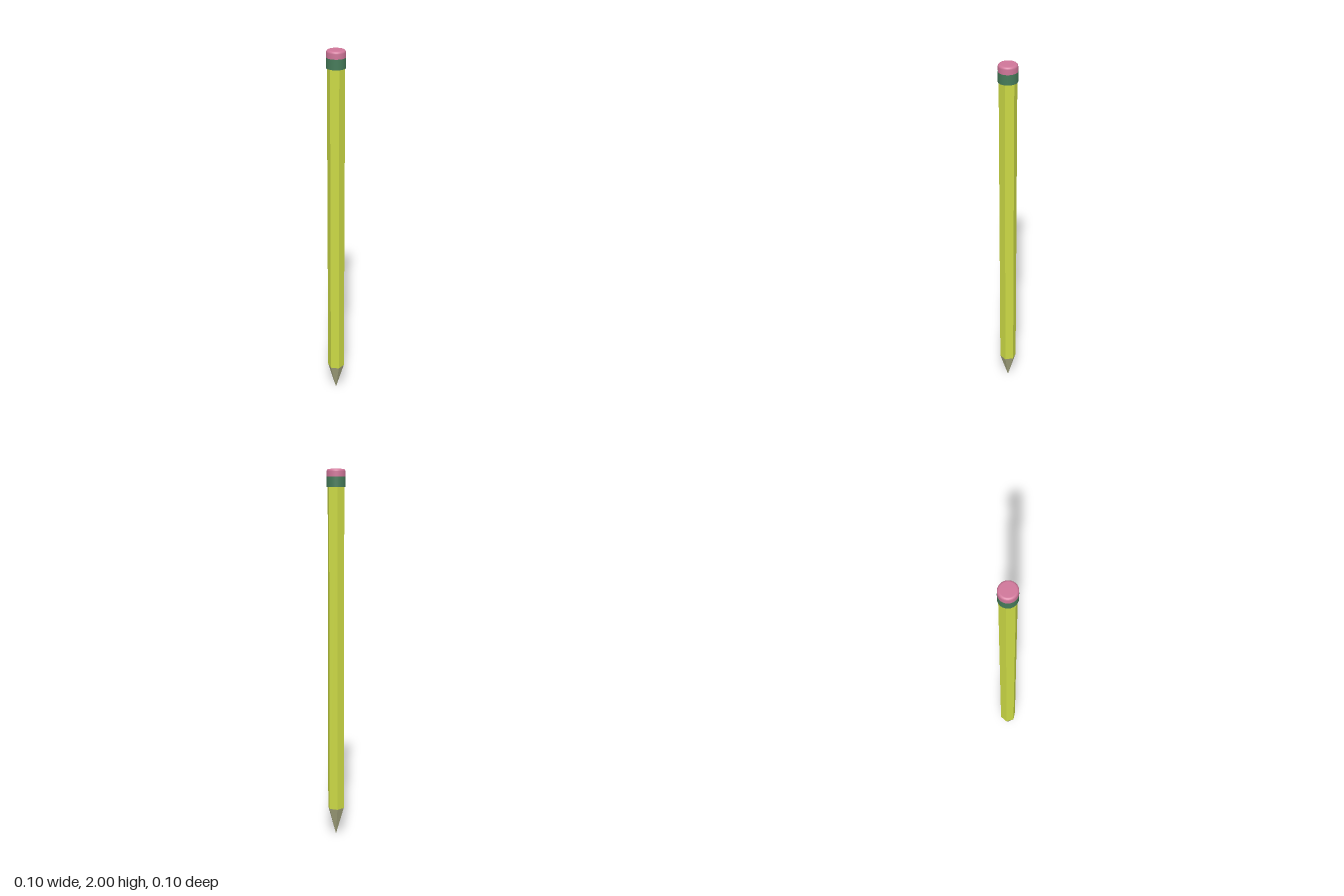
import * as THREE from 'three';

const paint = (name, color, flatShading = false) => {
  const m = new THREE.MeshStandardMaterial({ color, flatShading });
  m.name = name;
  return m;
};

export function createModel() {
  const pencil = new THREE.Group();
  pencil.name = 'pencil';
  const yellow = paint('yellow paint', 0xcbd945, true);
  const wood = paint('bare wood', 0xa3a37e, true);
  const green = paint('green ferrule', 0x457a59);
  const pink = paint('pink eraser', 0xcf7699);

  const add = (name, geometry, material) => {
    const mesh = new THREE.Mesh(geometry, material);
    mesh.name = name;
    pencil.add(mesh);
    return mesh;
  };

  const hexRadius = 0.046, shoulder = 0.156, shaftTop = 1.93;
  const hexPrism = (top, bottom, height) =>
    new THREE.CylinderGeometry(top, bottom, height, 6, 1, false, Math.PI / 6);

  // Hexagonal shaft with a flat side facing front
  add('shaft', hexPrism(hexRadius, hexRadius, shaftTop - shoulder), yellow)
    .position.y = (shaftTop + shoulder) / 2;

  // Sharpened six-sided point
  add('sharpenedTip', hexPrism(hexRadius, 0, shoulder), wood)
    .position.y = shoulder / 2;

  // Round sleeve holding the eraser
  const ferrule = add('ferrule', new THREE.CylinderGeometry(0.05, 0.05, 0.053, 32), green);
  ferrule.position.y = 1.9355;
  ferrule.scale.x = 0.98;

  // Eraser with a softly rounded rim
  const profile = [[0.0495, 1.96], [0.0495, 1.988]];
  for (let i = 1; i <= 5; i++) {
    const a = (i / 5) * Math.PI / 2;
    profile.push([0.0375 + 0.012 * Math.cos(a), 1.988 + 0.012 * Math.sin(a)]);
  }
  profile.push([0, 2]);
  const eraser = add('eraser',
    new THREE.LatheGeometry(profile.map(([r, y]) => new THREE.Vector2(r, y)), 32), pink);
  eraser.scale.x = 0.98;

  return pencil;
}
